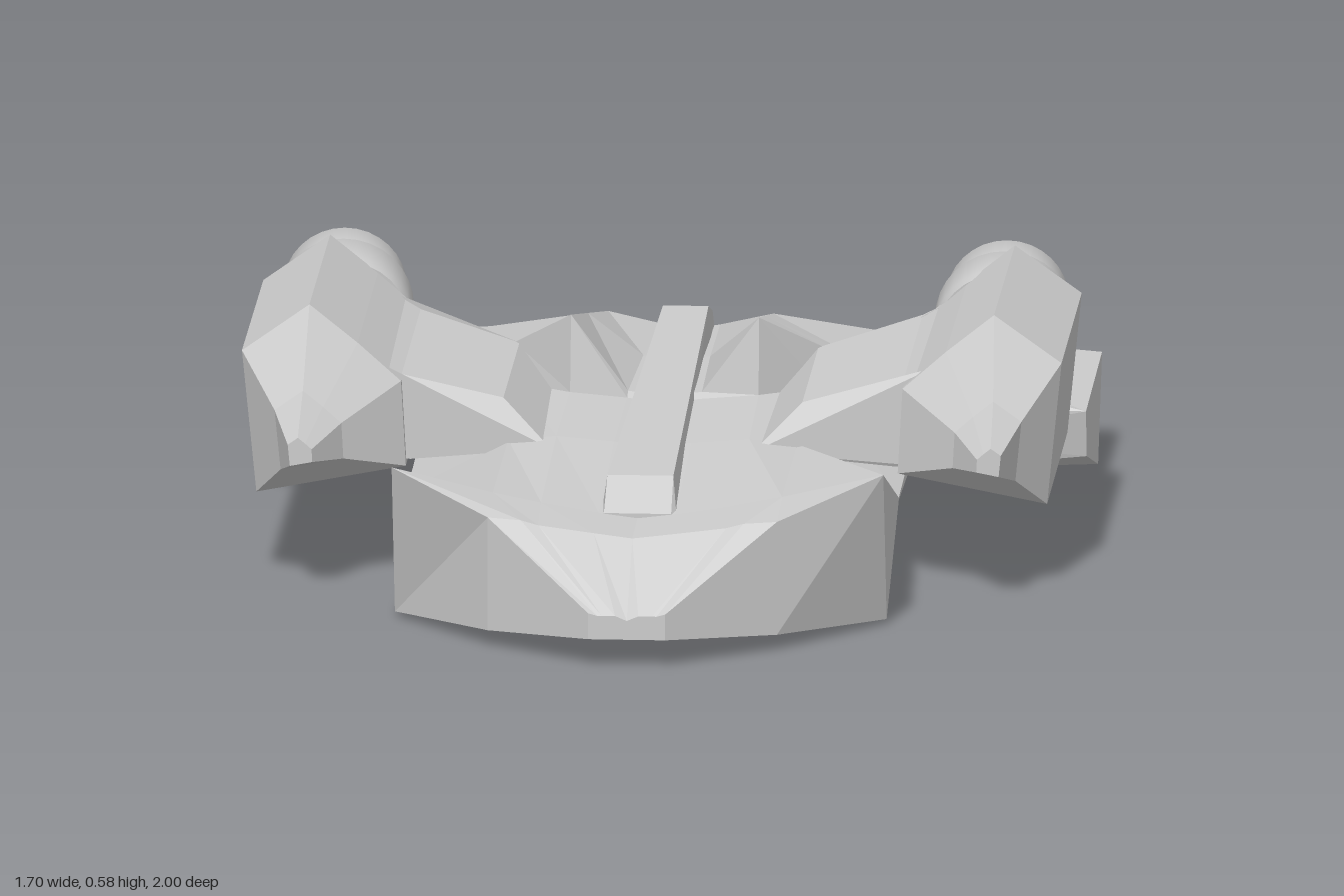
import * as THREE from 'three';
import { toCreasedNormals } from 'three/addons/utils/BufferGeometryUtils.js';

const flat = new THREE.MeshStandardMaterial({ color: 0xcccccc, flatShading: true, side: THREE.DoubleSide });
const smooth = new THREE.MeshStandardMaterial({ color: 0xcccccc });

// Skin over closed rings (counter-clockwise seen from the front, ordered front to back).
// Each end is closed by pairing point i with point n-1-i.
function loft(name, rings) {
  const n = rings[0].length, pos = [];
  const quad = (a, b, c, d) => pos.push(...a, ...b, ...c, ...a, ...c, ...d);
  for (let j = 0; j < rings.length - 1; j++) {
    for (let i = 0; i < n; i++) {
      const k = (i + 1) % n;
      quad(rings[j][i], rings[j + 1][i], rings[j + 1][k], rings[j][k]);
    }
  }
  const first = rings[0], last = rings[rings.length - 1];
  for (let i = 0; i < n / 2 - 1; i++) {
    quad(first[i], first[i + 1], first[n - 2 - i], first[n - 1 - i]);
    quad(last[n - 1 - i], last[n - 2 - i], last[i + 1], last[i]);
  }
  const geo = new THREE.BufferGeometry();
  geo.setAttribute('position', new THREE.Float32BufferAttribute(pos, 3));
  geo.computeVertexNormals();
  const mesh = new THREE.Mesh(geo, flat);
  mesh.name = name;
  return mesh;
}

const flip = ([x, y, z]) => [-x, y, z];

// Mirrored ring for the other side keeps its winding
const sided = (ring, s) => s > 0 ? ring : ring.map(flip).reverse();

// Hull section: heights of foot, ridge, shoulder, upper edge, lower edge, belly and slot roof.
// Widths follow from the half width and the distance behind the middle.
function station(z, width, [foot, ridge, shoulder, edge, low, belly, roof], edgeZ = z, lowZ = z) {
  const aft = Math.max(-z, 0), inner = (share, most) => Math.min(width * share, most);
  const slot = inner(0.3, 0.045), slotZ = Math.min(z, lowZ);
  const top = [
    [width, edge, edgeZ],
    [inner(0.77, 0.3 + aft * 0.12), shoulder, z + (edgeZ - z) * 0.4],
    [inner(0.65, 0.2 - aft * 0.03), ridge, z],
    [inner(0.3, 0.08 - aft * 0.02), foot, z],
  ];
  const bottom = [
    [width, low, lowZ],
    [inner(0.7, 0.28 + aft * 0.1), belly, lowZ],
    [slot, belly, slotZ], [slot, roof, slotZ],
  ];
  return [
    ...top, [0, foot - 0.01, z], ...top.map(flip).reverse(),
    ...bottom.map(flip), [0, roof, slotZ], ...bottom.reverse(),
  ];
}

function hull() {
  return loft('hull', [
    station(1, 0.08, [0.11, 0.11, 0.11, 0.115, 0.06, 0.06, 0.06]),
    station(0.83, 0.3, [0.245, 0.26, 0.27, 0.275, 0.035, 0.055, 0.055]),
    // blunt front end of the belly slot
    ...[0.05, 0.12].map(roof => station(0.67, 0.51, [0.25, 0.27, 0.29, 0.34, 0.01, 0.05, roof], 0.67, 0.57)),
    station(0.2, 0.51, [0.29, 0.3, 0.29, 0.18, 0.175, 0.04, 0.12]),
    // deck ends at the steep, swept front of the ridges
    station(-0.15, 0.51, [0.3, 0.31, 0.3, 0.2, 0.15, 0.05, 0.13], -0.45, -0.45),
    station(-0.17, 0.51, [0.31, 0.47, 0.38, 0.21, 0.14, 0.055, 0.14], -0.48, -0.48),
    // wings spread out behind the engines
    station(-0.53, 0.85, [0.3, 0.388, 0.31, 0.2, 0.1, 0.06, 0.15], -0.51),
    station(-0.96, 0.85, [0.265, 0.29, 0.25, 0.21, 0, 0.14, 0.14], -1, -0.88),
  ]);
}

// Raised bar along the centre line
function spine() {
  const section = (z, top) => {
    const w = 0.07 + z * 0.018;
    return [[w, 0.23, z], [w * 0.85, top, z], [-w * 0.85, top, z], [-w, 0.23, z]];
  };
  return loft('spine', [
    section(0.67, 0.25), section(0.58, 0.31), section(-0.8, 0.342), section(-0.96, 0.295),
  ]);
}

// Six-sided engine body narrowing to a small snout
function nacelle(s) {
  const outline = [[0.85, 0.48], [0.71, 0.58], [0.61, 0.5], [0.52, 0.42], [0.51, 0.24], [0.82, 0.18]];
  const ring = (z, scale) => sided(outline.map(([x, y]) =>
    [0.72 + (x - 0.72) * scale, 0.31 + (y - 0.31) * scale, z]), s);
  return loft('nacelle', [ring(0.465, 0.15), ring(0.35, 0.42), ring(0.235, 1), ring(-0.4, 0.99)]);
}

// Strut whose inner face slopes down to the deck beside the ridge
function pylon(s) {
  const ring = (rootZ, tipZ) => sided([
    [0.58, 0.25, tipZ], [0.58, 0.46, tipZ], [0.52, 0.43, tipZ],
    [0.31, 0.38, rootZ], [0.21, 0.28, rootZ + 0.03], [0.5, 0.25, tipZ],
  ], s);
  return loft('pylon', [ring(0.2, 0.215), ring(-0.29, -0.385)]);
}

// Stepped exhaust with a recessed ring, pitched slightly upward
function thruster(s) {
  const profile = [
    [0, -0.02], [0.14, -0.02], [0.145, 0], [0.145, 0.12], [0.136, 0.135], [0.122, 0.137],
    [0.122, 0.15], [0.13, 0.155], [0.128, 0.25], [0.118, 0.265], [0.095, 0.265],
    [0.09, 0.252], [0.062, 0.252], [0.058, 0.262], [0, 0.262],
  ].map(([r, y]) => new THREE.Vector2(r, y));
  const geo = toCreasedNormals(new THREE.LatheGeometry(profile, 32), 0.6);
  geo.rotateX(-Math.PI / 2);
  const mesh = new THREE.Mesh(geo, smooth);
  mesh.name = 'thruster';
  mesh.position.set(s * 0.685, 0.385, s > 0 ? -0.4 : -0.42);
  mesh.rotation.set(0.07, s > 0 ? 0.03 : 0.05, 0);
  return mesh;
}

export function createModel() {
  const model = new THREE.Group();
  model.name = 'spacecraft';
  model.add(hull(), spine());
  for (const s of [1, -1]) {
    const engine = new THREE.Group();
    engine.name = s > 0 ? 'leftEngine' : 'rightEngine';
    engine.add(nacelle(s), pylon(s), thruster(s));
    model.add(engine);
  }
  return model;
}
